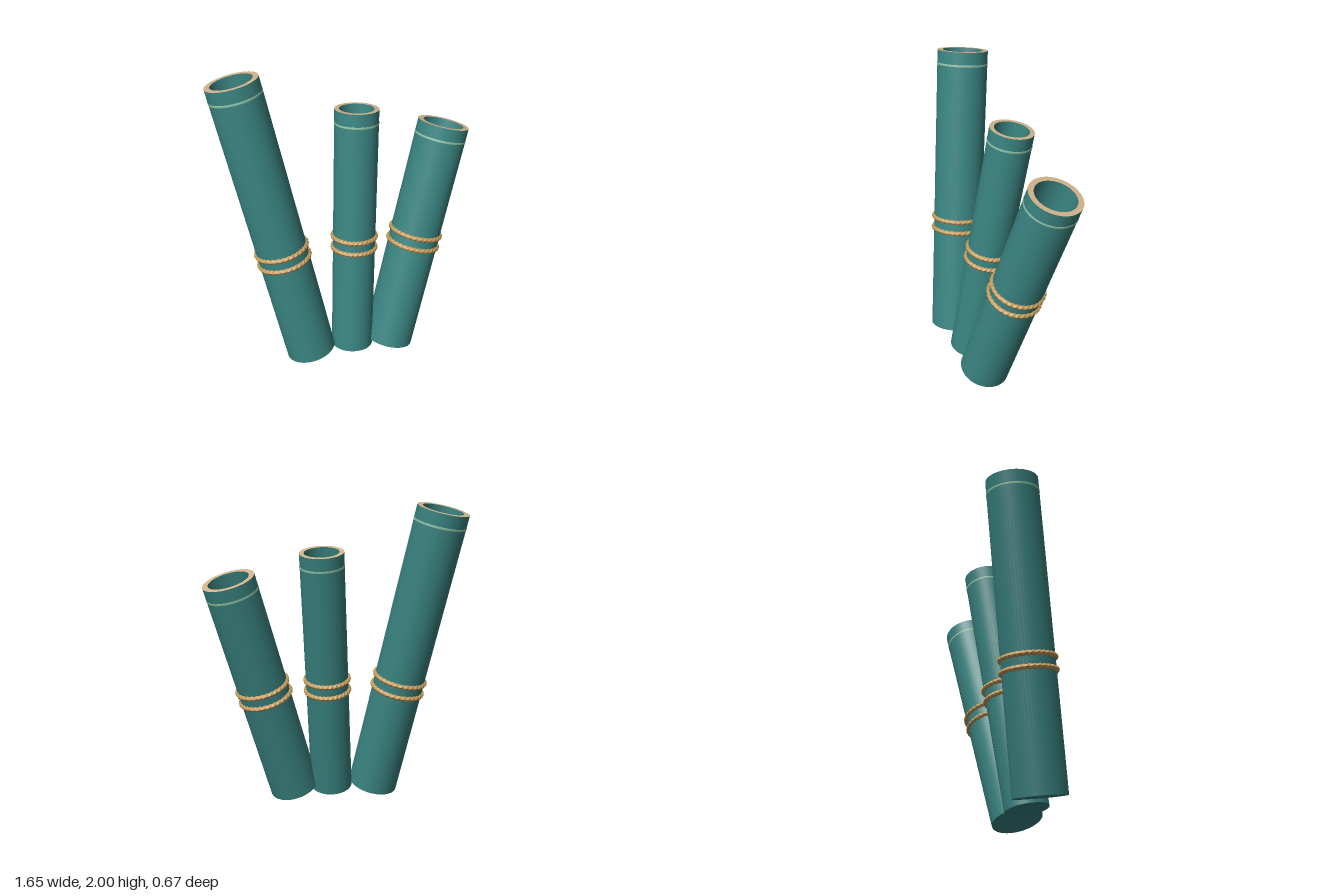
import * as THREE from 'three';

const mat = (name, color) => {
  const m = new THREE.MeshStandardMaterial({ color });
  m.name = name;
  return m;
};

// Surface of revolution through [radius, height] points
const lathe = (...pts) =>
  new THREE.LatheGeometry(pts.map(([r, h]) => new THREE.Vector2(r, h)), 48);

// Ring with a twisted, rope-like surface, lying flat around the y axis
function ropeRing(radius, thickness) {
  const geo = new THREE.TorusGeometry(radius, thickness, 8, 192);
  geo.rotateX(Math.PI / 2);
  const p = geo.attributes.position;
  for (let i = 0; i < p.count; i++) {
    const x = p.getX(i), y = p.getY(i), z = p.getZ(i);
    const around = Math.atan2(z, x);
    const ringR = Math.hypot(x, z);
    const across = Math.atan2(y, ringR - radius);
    const s = 1 + 0.14 * Math.sin(32 * around + 2 * across);
    const r = radius + (ringR - radius) * s;
    p.setXYZ(i, r * Math.cos(around), y * s, r * Math.sin(around));
  }
  geo.computeVertexNormals();
  return geo;
}

export function createModel() {
  const teal = mat('teal', 0x398380);
  const tan = mat('cutTan', 0xd2b48c);
  const rope = mat('rope', 0xc49a5a);
  const pale = mat('paleGreen', 0x8cc0a2);

  const model = new THREE.Group();
  model.name = 'bambooTubes';

  // Each tube runs from the centre of its base to the centre of its mouth
  const tubes = [
    { name: 'tallTube', base: [-0.31, 0.052, 0.115], top: [-0.663, 1.961, -0.173], R: 0.166 },
    { name: 'middleTube', base: [-0.02, 0.054, 0.14], top: [0.092, 1.708, -0.107], R: 0.14 },
    { name: 'shortTube', base: [0.238, 0.051, 0.17], top: [0.665, 1.545, -0.055], R: 0.166 },
  ];

  for (const { name, base, top, R } of tubes) {
    const a = new THREE.Vector3(...base);
    const axis = new THREE.Vector3(...top).sub(a);
    const L = axis.length();
    const r = R * 0.79;
    const floor = L - 0.42;

    const tube = new THREE.Group();
    tube.name = name;
    tube.position.copy(a);
    tube.quaternion.setFromUnitVectors(new THREE.Vector3(0, 1, 0), axis.normalize());
    const add = (part, geo, material, y = 0) => {
      const mesh = new THREE.Mesh(geo, material);
      mesh.name = part;
      mesh.position.y = y;
      tube.add(mesh);
    };

    // Hollow stem, built face by face so the edges stay sharp
    add('bottom', lathe([0, 0], [R, 0]), teal);
    add('outerWall', lathe([R, 0], [R, L]), teal);
    add('rim', lathe([R, L], [r, L]), tan);
    add('bore', lathe([r, L], [r, floor]), teal);
    add('innerNode', lathe([r, floor], [0, floor]), teal);

    // Pale ring below the mouth
    const s = R + 0.002;
    add('paleRing', lathe([R, -0.007], [s, -0.006], [s, 0.006], [R, 0.007]), pale, L - 0.088);

    // Two rope bindings
    for (const y of [0.735, 0.815]) add('ropeBinding', ropeRing(R, 0.016), rope, y);

    model.add(tube);
  }
  return model;
}
